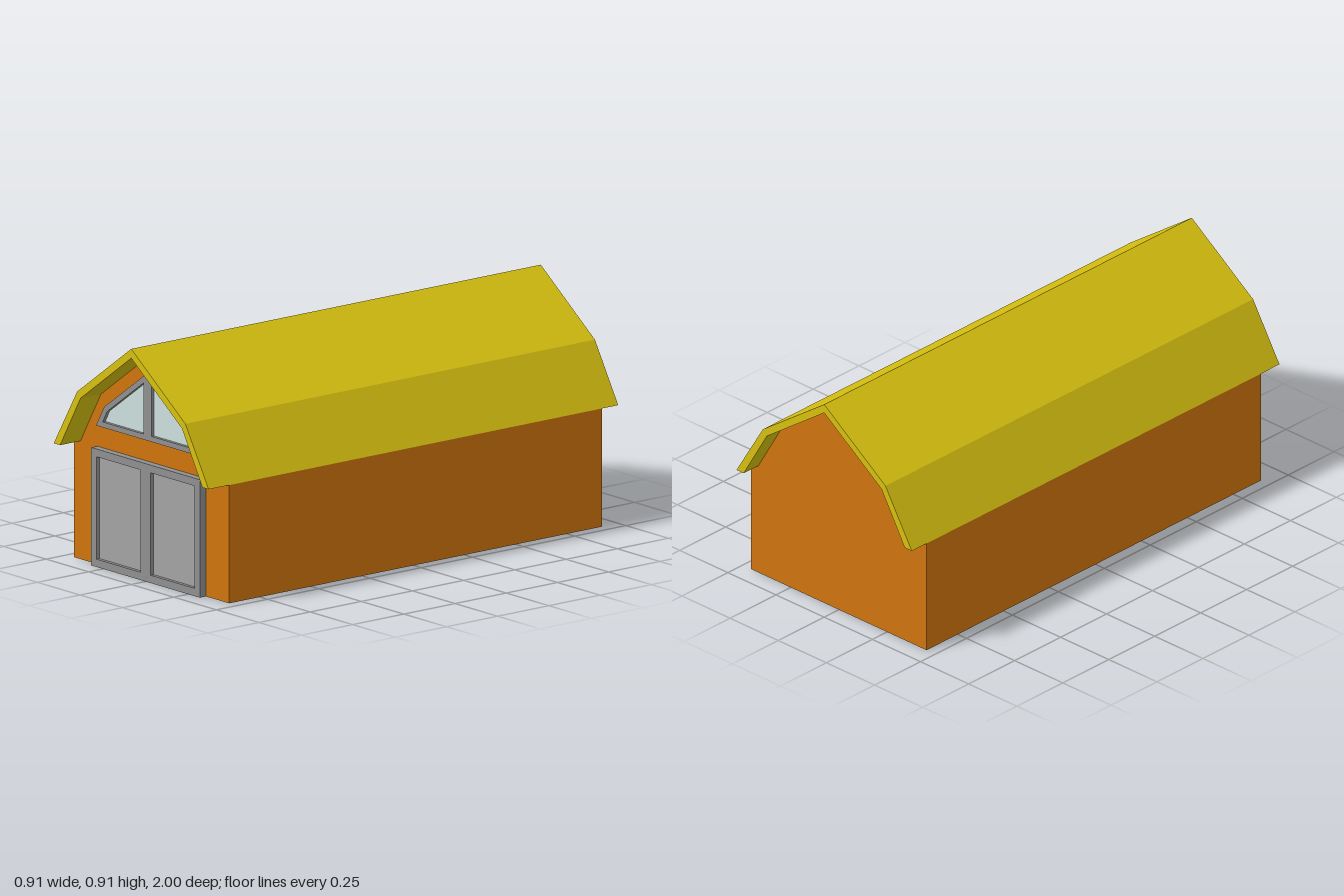
import * as THREE from 'three';

const paint = (color) => new THREE.MeshStandardMaterial({ color, flatShading: true });

// Mirror a right-hand half profile, listed from the bottom up to the ridge at x = 0
const mirrored = (half) => [
  ...half,
  ...half.filter(([x]) => x > 0).reverse().map(([x, y]) => [-x, y]),
];
const flip = (points) => points.map(([x, y]) => [-x, y]).reverse();
const toVectors = (points) => points.map(([x, y]) => new THREE.Vector2(x, y));
const rect = (x0, x1, y0, y1) => [[x0, y0], [x1, y0], [x1, y1], [x0, y1]];

// Extrude an outline, with optional holes, between two z positions
function slab(name, outline, z0, z1, material, holes = []) {
  const shape = new THREE.Shape(toVectors(outline));
  holes.forEach((hole) => shape.holes.push(new THREE.Path(toVectors(hole))));
  const geometry = new THREE.ExtrudeGeometry(shape, { depth: z1 - z0, bevelEnabled: false });
  geometry.translate(0, 0, z0);
  const mesh = new THREE.Mesh(geometry, material);
  mesh.name = name;
  return mesh;
}

export function createModel() {
  const barn = new THREE.Group();
  barn.name = 'barn';
  const wall = paint(0xd0750e);
  const yellow = paint(0xd6c010);
  const trim = paint(0x909090);
  const panel = paint(0xa3a3a3);
  const glass = paint(0xcce0de);
  const front = 0.9;
  const back = -0.92;

  // Walls and gables, up to the underside of the roof
  const underRoof = [[0.418, 0.458], [0.298, 0.663], [0, 0.877]];
  const overRoof = [[0.455, 0.458], [0.318, 0.685], [0, 0.913]];
  barn.add(slab('walls', mirrored([[0.455, 0.002], [0.455, 0.458], ...underRoof]), back, front, wall));

  // Floor
  const floor = new THREE.Mesh(new THREE.BoxGeometry(0.91, 0.002, front - back), trim);
  floor.name = 'floor';
  floor.position.set(0, 0.001, (front + back) / 2);
  barn.add(floor);

  // Two-pitch roof, overhanging both gables
  const roofBand = [...mirrored(overRoof), ...mirrored(underRoof).reverse()];
  barn.add(slab('roof', roofBand, -1, 1, yellow));

  // Double door: frame with two recessed panels
  const door = new THREE.Group();
  door.name = 'door';
  const doorHole = rect(0.03, 0.288, 0.03, 0.427);
  const doorHoles = [doorHole, flip(doorHole)];
  door.add(slab('doorFrame', rect(-0.319, 0.319, 0, 0.457), front, 0.93, trim, doorHoles));
  doorHoles.forEach((outline, i) =>
    door.add(slab(i ? 'rightDoorPanel' : 'leftDoorPanel', outline, front, 0.915, panel)));
  barn.add(door);

  // Gable window: frame with two panes
  const gableWindow = new THREE.Group();
  gableWindow.name = 'gableWindow';
  const pane = [[0.023, 0.565], [0.264, 0.565], [0.238, 0.611], [0.023, 0.764]];
  const panes = [pane, flip(pane)];
  const windowOutline = mirrored([[0.303, 0.544], [0.255, 0.625], [0, 0.807]]);
  gableWindow.add(slab('windowFrame', windowOutline, front, 0.92, trim, panes));
  panes.forEach((outline, i) =>
    gableWindow.add(slab(i ? 'rightPane' : 'leftPane', outline, front, 0.907, glass)));
  barn.add(gableWindow);

  return barn;
}
